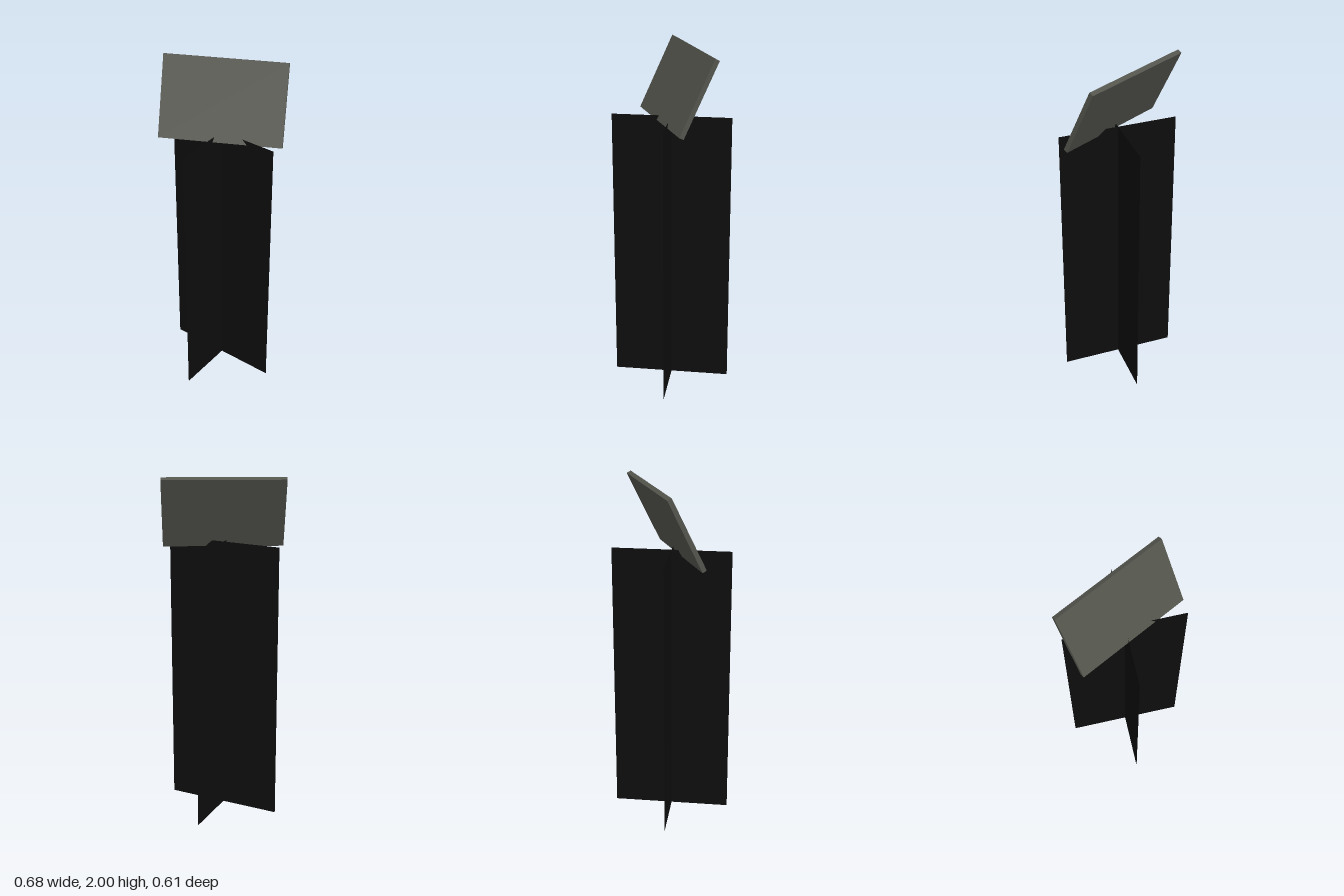
import * as THREE from 'three';

const HALF_WIDTH = 0.34;
const STAND_HEIGHT = 1.618;
const TURN = THREE.MathUtils.degToRad(-27);
const TILT = THREE.MathUtils.degToRad(-25.9);

export function createModel() {
  const model = new THREE.Group();
  model.name = 'lectern';

  const black = new THREE.MeshStandardMaterial({ color: 0x0d0d0d, side: THREE.DoubleSide });
  black.name = 'black sheet';
  const grey = new THREE.MeshStandardMaterial({ color: 0x53544c });
  grey.name = 'warm grey';

  // Stand: two paper-thin upright sheets crossing at right angles
  const stand = new THREE.Group();
  stand.name = 'stand';
  stand.rotation.y = TURN;
  const sheetGeometry = new THREE.PlaneGeometry(HALF_WIDTH * 2, STAND_HEIGHT);
  for (let i = 0; i < 2; i++) {
    const sheet = new THREE.Mesh(sheetGeometry, black);
    sheet.name = i === 0 ? 'wideSheet' : 'crossSheet';
    sheet.position.y = STAND_HEIGHT / 2;
    sheet.rotation.y = i * Math.PI / 2;
    stand.add(sheet);
  }
  model.add(stand);

  // Reading board: thin slab leaning back over the stand
  const board = new THREE.Mesh(new THREE.BoxGeometry(0.682, 0.454, 0.027), grey);
  board.name = 'readingBoard';
  board.position.set(0, 1.79, -0.036);
  board.rotation.x = TILT;
  model.add(board);

  return model;
}
